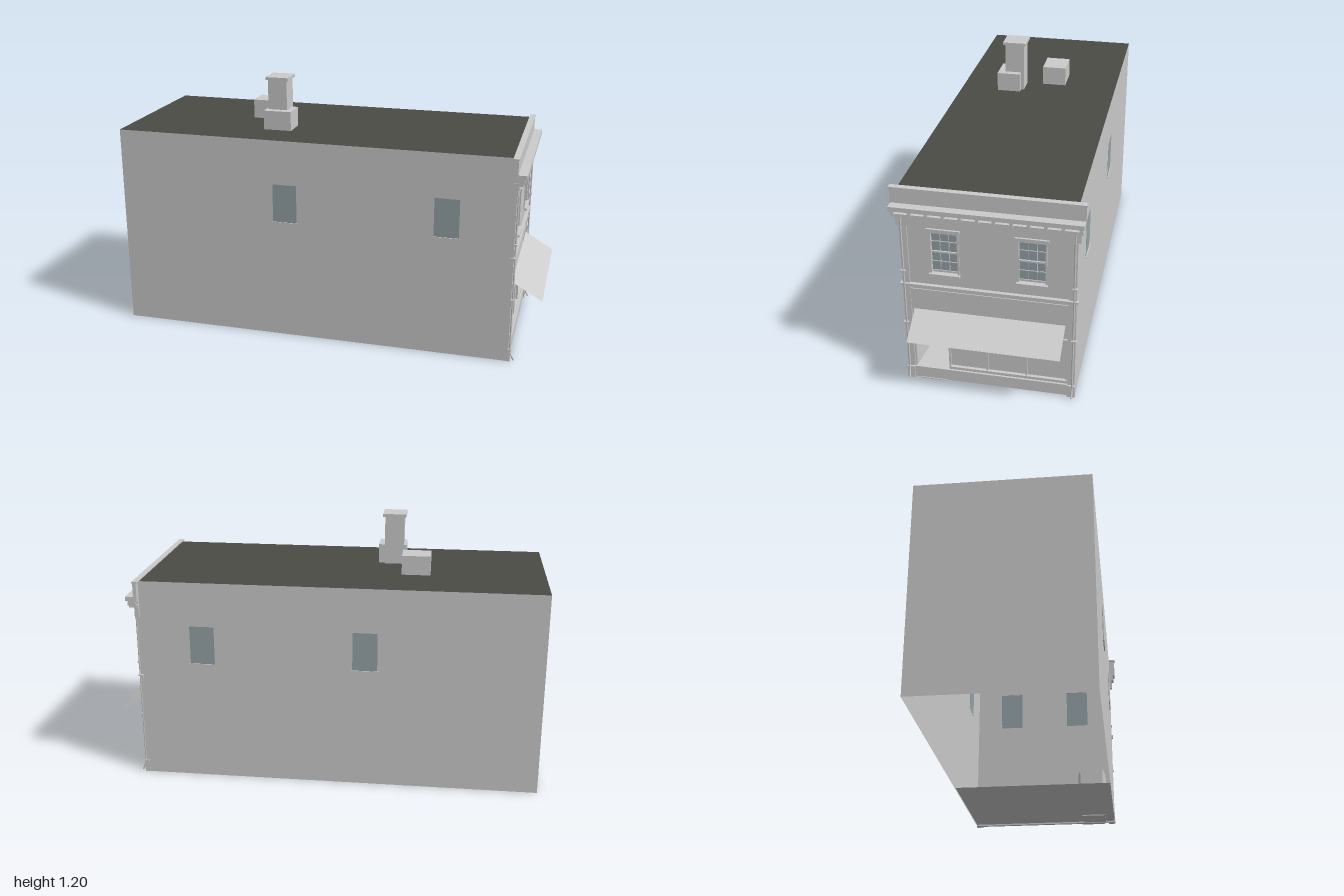
import * as THREE from 'three';

const mat = (name, color, side = THREE.FrontSide) => {
  const m = new THREE.MeshStandardMaterial({ color, side });
  m.name = name;
  return m;
};

export function createModel() {
  const root = new THREE.Group();
  root.name = 'shopBuilding';
  const wall = mat('paintedWall', 0xcccccc);
  const sheet = mat('paintedSheet', 0xcccccc, THREE.DoubleSide);
  const roofMat = mat('tarRoof', 0x4b4b45, THREE.DoubleSide);
  const glass = mat('windowGlass', 0x96a4a9, THREE.DoubleSide);
  const dark = mat('darkMetal', 0x3c3c3c);

  const add = (name, geometry, material, parent = root) => {
    const m = new THREE.Mesh(geometry, material);
    m.name = name;
    parent.add(m);
    return m;
  };
  // Box given by its limits on each axis
  const box = (name, x0, x1, y0, y1, z0, z1, material = wall, parent = root) => {
    const g = new THREE.BoxGeometry(x1 - x0, y1 - y0, Math.abs(z1 - z0));
    g.translate((x0 + x1) / 2, (y0 + y1) / 2, (z0 + z1) / 2);
    return add(name, g, material, parent);
  };
  // Flat four-cornered sheet
  const quad = (name, a, b, c, d, material = sheet) => {
    const g = new THREE.BufferGeometry();
    g.setAttribute('position', new THREE.Float32BufferAttribute([a, b, c, d].flat(), 3));
    g.setIndex([0, 1, 2, 0, 2, 3]);
    g.computeVertexNormals();
    return add(name, g, material);
  };

  // Shell: thin walls, open underneath towards the back
  const W = 0.376, H = 0.96, F = 0.857;
  for (const s of [1, -1]) {
    quad('sideWall', [-1, 0, s * W], [F, 0, s * W], [F, H, s * W], [-1, H, s * W]);
  }
  quad('backWall', [-1, 0, -W], [-1, 0, W], [-1, H, W], [-1, H, -W]);
  quad('roof', [-1, H, W], [F, H, W], [F, H, -W], [-1, H, -W], roofMat);
  quad('shopFloor', [0.17, 0.008, W], [F, 0.008, W], [F, 0.008, -W], [0.17, 0.008, -W]);

  // Street facade with openings for the shopfront and two windows
  const rect = (Type, z0, z1, y0, y1) => {
    const p = new Type();
    p.moveTo(-z0, y0);
    p.lineTo(-z1, y0);
    p.lineTo(-z1, y1);
    p.lineTo(-z0, y1);
    p.closePath();
    return p;
  };
  const winZ = [0.187, -0.187];
  const face = rect(THREE.Shape, W, -W, 0, H);
  face.holes.push(rect(THREE.Path, 0.335, -0.342, 0.06, 0.37));
  for (const z of winZ) face.holes.push(rect(THREE.Path, z + 0.06, z - 0.06, 0.565, 0.767));
  const faceGeo = new THREE.ExtrudeGeometry(face, { depth: 0.017, bevelEnabled: false });
  faceGeo.rotateY(Math.PI / 2).translate(0.84, 0, 0);
  add('facadeWall', faceGeo, wall);

  // Corner pilasters, plinth, sign board and string course
  for (const s of [1, -1]) {
    box('pilaster', 0.85, 0.864, 0.06, 0.84, s * 0.343, s * W);
    box('pilasterBase', 0.85, 0.872, 0, 0.06, s * 0.343, s * 0.378);
  }
  box('plinth', 0.85, 0.866, 0.004, 0.06, -0.343, 0.343);
  box('signBoard', 0.85, 0.861, 0.39, 0.475, -0.343, 0.343);
  box('stringCourse', 0.85, 0.868, 0.487, 0.505, -0.382, 0.382);
  box('stringCourseLip', 0.85, 0.874, 0.499, 0.505, -0.384, 0.384);

  // Parapet and bracketed cornice
  box('parapet', 0.85, 0.866, 0.87, 0.96, -0.406, 0.406);
  box('parapetCap', 0.843, 0.869, 0.958, 0.965, -0.41, 0.41);
  box('corniceShelf', 0.85, 0.905, 0.872, 0.892, -0.404, 0.404);
  box('corniceBacking', 0.85, 0.866, 0.84, 0.872, -0.39, 0.39);
  box('corniceBed', 0.85, 0.89, 0.84, 0.854, -0.398, 0.398);
  box('frieze', 0.85, 0.87, 0.79, 0.84, -0.388, 0.388);
  for (let i = 0; i < 12; i++) {
    const z = -0.39 + i * 0.0709;
    box('corniceBracket', 0.86, 0.897, 0.848, 0.873, z - 0.007, z + 0.007);
  }

  // Upper sash windows
  for (const z of winZ) {
    const g = new THREE.Group();
    g.name = 'sashWindow';
    root.add(g);
    box('windowGlass', 0.843, 0.846, 0.565, 0.767, z - 0.06, z + 0.06, glass, g);
    for (const s of [1, -1]) box('windowJamb', 0.843, 0.862, 0.565, 0.77, z + s * 0.056, z + s * 0.064, wall, g);
    box('windowHead', 0.843, 0.862, 0.762, 0.772, z - 0.064, z + 0.064, wall, g);
    box('windowHood', 0.85, 0.874, 0.775, 0.787, z - 0.072, z + 0.072, wall, g);
    box('windowSill', 0.843, 0.874, 0.558, 0.567, z - 0.067, z + 0.067, wall, g);
    box('meetingRail', 0.845, 0.853, 0.663, 0.671, z - 0.056, z + 0.056, wall, g);
    box('bottomRail', 0.845, 0.85, 0.567, 0.576, z - 0.056, z + 0.056, wall, g);
    for (const s of [1, -1]) {
      box('muntinUpright', 0.845, 0.849, 0.567, 0.765, z + s * 0.019 - 0.0015, z + s * 0.019 + 0.0015, wall, g);
    }
    for (const y of [0.62, 0.717]) box('muntinBar', 0.845, 0.849, y - 0.0015, y + 0.0015, z - 0.056, z + 0.056, wall, g);
  }

  // Side windows with thin sills
  for (const s of [1, -1]) {
    for (const x of [-0.19, 0.563]) {
      box('sideWindow', x - 0.057, x + 0.057, 0.57, 0.752, s * (W - 0.002), s * (W + 0.001), glass);
      box('sideWindowSill', x - 0.062, x + 0.062, 0.564, 0.571, s * (W - 0.002), s * (W + 0.005));
    }
  }

  // Shopfront: display panes, mullions and rails
  box('displayPanes', 0.838, 0.842, 0.06, 0.265, -0.342, 0.185);
  for (const z of [0.185, 0.016, -0.16, -0.338]) box('shopMullion', 0.838, 0.852, 0.06, 0.265, z - 0.004, z + 0.004);
  box('shopSillRail', 0.838, 0.857, 0.06, 0.073, -0.342, 0.185);
  box('shopHeader', 0.838, 0.857, 0.262, 0.293, -0.342, 0.335);
  box('transomPanel', 0.838, 0.848, 0.293, 0.37, -0.342, 0.335);

  // Recessed entrance with glazed door
  const D = 0.71;
  quad('entranceSideWall', [0.842, 0.01, 0.185], [D, 0.01, 0.205], [D, 0.265, 0.205], [0.842, 0.265, 0.185]);
  quad('entranceSideWall', [0.842, 0.01, 0.335], [D, 0.01, 0.32], [D, 0.265, 0.32], [0.842, 0.265, 0.335]);
  quad('entranceCeiling', [0.842, 0.265, 0.335], [D, 0.265, 0.32], [D, 0.265, 0.205], [0.842, 0.265, 0.185]);
  quad('entranceFloor', [0.842, 0.058, 0.335], [D, 0.058, 0.32], [D, 0.058, 0.205], [0.842, 0.058, 0.185]);
  box('entranceFooting', D, 0.845, 0.003, 0.012, 0.21, 0.33);
  box('doorFrame', D - 0.01, D, 0.01, 0.265, 0.203, 0.322);
  box('doorGlass', D, D + 0.004, 0.062, 0.243, 0.213, 0.311, glass);
  box('doorHandle', D + 0.004, D + 0.012, 0.112, 0.128, 0.261, 0.267, dark);
  box('doorStep', 0.85, 0.87, 0, 0.005, 0.2, 0.32);

  // Sloping awning
  quad('awning', [0.86, 0.371, 0.33], [0.998, 0.29, 0.33], [0.998, 0.29, -0.33], [0.86, 0.371, -0.33]);

  // Downpipes kicked out at the foot, with wall clips
  for (const s of [1, -1]) {
    const path = new THREE.CurvePath();
    const pts = [[0.87, 0.84], [0.87, 0.04], [0.888, 0.004]].map(([x, y]) => new THREE.Vector3(x, y, s * 0.366));
    path.add(new THREE.LineCurve3(pts[0], pts[1]));
    path.add(new THREE.LineCurve3(pts[1], pts[2]));
    add('downpipe', new THREE.TubeGeometry(path, 24, 0.004, 8), sheet);
    for (const y of [0.3, 0.565]) box('pipeClip', 0.86, 0.876, y - 0.004, y + 0.004, s * 0.358, s * 0.38);
  }

  // Chimney and roof boxes
  box('chimneyBase', -0.345, -0.213, H, 1.05, 0.083, 0.195);
  box('chimneyStack', -0.333, -0.242, H, 1.19, 0.068, 0.16);
  box('chimneyCap', -0.342, -0.232, 1.19, 1.204, 0.058, 0.17);
  box('roofBox', -0.468, -0.335, H, 1.05, -0.124, -0.01);

  return root;
}
